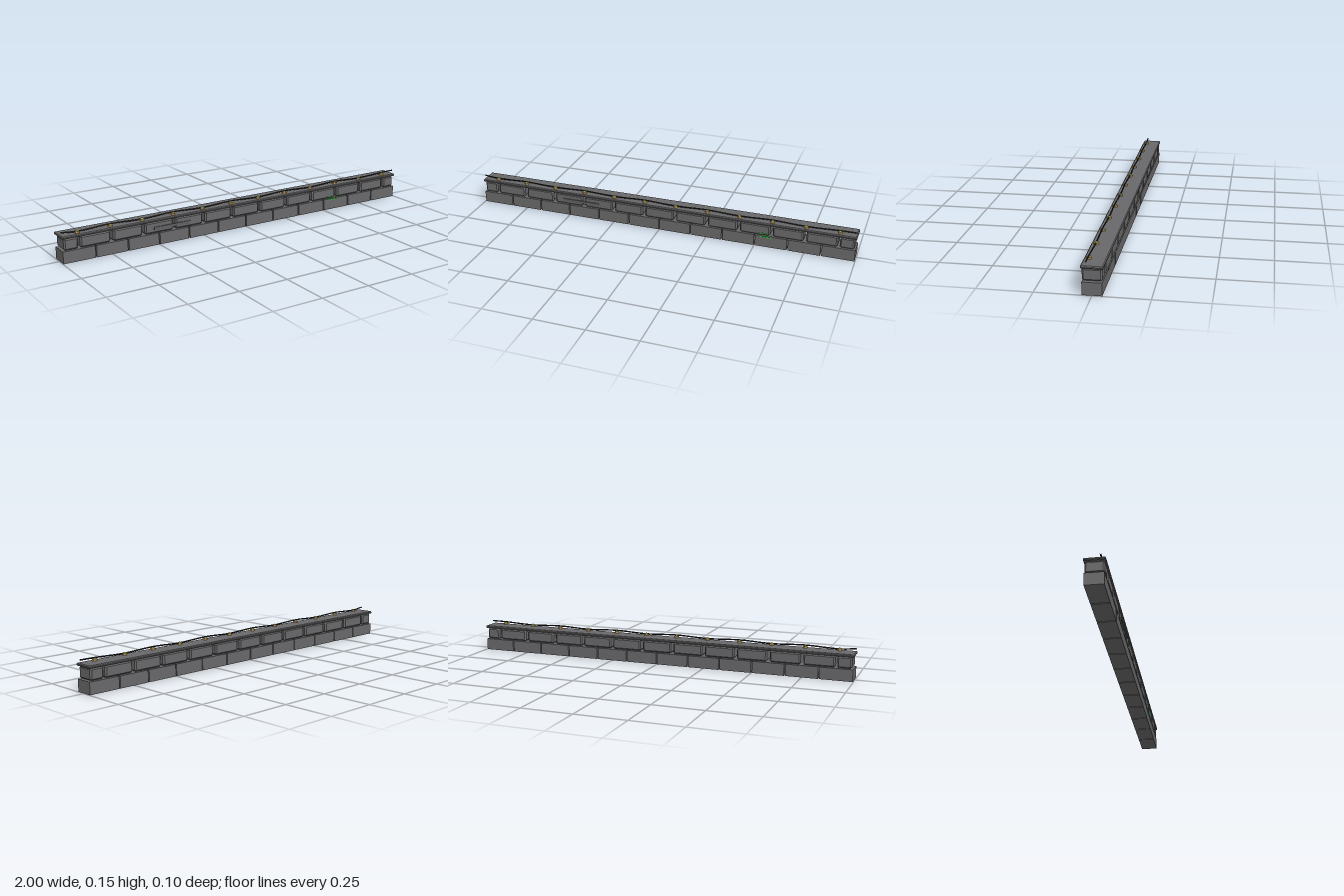
import * as THREE from 'three';
import { ConvexGeometry } from 'three/addons/geometries/ConvexGeometry.js';

// Box with every edge and corner chamfered by c
function chamferedBox(w, h, d, c) {
  const points = [];
  for (const sx of [-1, 1]) for (const sy of [-1, 1]) for (const sz of [-1, 1]) {
    const x = w / 2, y = h / 2, z = d / 2;
    points.push(
      new THREE.Vector3(sx * x, sy * (y - c), sz * (z - c)),
      new THREE.Vector3(sx * (x - c), sy * y, sz * (z - c)),
      new THREE.Vector3(sx * (x - c), sy * (y - c), sz * z));
  }
  return new ConvexGeometry(points);
}

export function createModel() {
  const wall = new THREE.Group();
  wall.name = 'lowWall';
  const material = (name, color, flatShading = true) => {
    const m = new THREE.MeshStandardMaterial({ color, flatShading });
    m.name = name;
    return m;
  };
  const stone = material('stone', 0x68686a);
  const darkStone = material('dark stone', 0x5f5f61);
  const cableBlack = material('cable black', 0x171a16);
  const tan = material('lamp tan', 0xcfa560);
  const olive = material('lamp olive', 0x8d9650);
  const green = material('paint green', 0x35c83c);

  const add = (name, geometry, mat, x, y, z) => {
    const mesh = new THREE.Mesh(geometry, mat);
    mesh.name = name;
    mesh.position.set(x, y, z);
    wall.add(mesh);
    return mesh;
  };

  // Lower course of twelve plain blocks
  const step = 1 / 6;
  const lower = new THREE.BoxGeometry(step - 0.006, 0.059, 0.088);
  for (let i = 0; i < 12; i++) {
    add('lowerBlock', lower, stone, -1 + step * (i + 0.5), 0.0295, 0);
  }

  // Upper course of chamfered blocks, offset by half a block, with half blocks at the ends
  const upper = chamferedBox(step - 0.014, 0.057, 0.088, 0.007);
  for (let i = 1; i < 12; i++) {
    add('upperBlock', upper, stone, -1 + step * i, 0.0905, 0);
  }
  const half = chamferedBox(step / 2 - 0.013, 0.057, 0.088, 0.007);
  for (const side of [-1, 1]) add('upperHalfBlock', half, stone, side * 0.955, 0.0905, 0);

  // Coping slab along the top
  add('coping', chamferedBox(2, 0.013, 0.098, 0.004), stone, 0, 0.1255, 0);

  // Plate bridging two upper blocks at the front
  add('frontPlate', new THREE.BoxGeometry(0.2, 0.015, 0.005), darkStone, -0.43, 0.086, 0.0465);

  // Small lamps with a sloped top, one over each joint
  const lampZ = 0.026;
  const lampBody = new THREE.CylinderGeometry(0.012, 0.012, 0.009, 6);
  const lampTop = new THREE.ConeGeometry(0.012, 0.006, 6);
  const cablePoints = [new THREE.Vector3(-0.998, 0.147, lampZ)];
  for (let i = 0; i < 12; i++) {
    const x = -1 + step * (i + 0.5);
    add('lampBody', lampBody, tan, x, 0.1365, lampZ);
    add('lampTop', lampTop, olive, x, 0.144, lampZ);
    cablePoints.push(new THREE.Vector3(x, i % 2 ? 0.146 : 0.14, lampZ));
  }
  cablePoints.push(new THREE.Vector3(0.998, 0.147, lampZ));

  // Cable sagging gently between the lamps
  const path = new THREE.CatmullRomCurve3(cablePoints);
  add('cable', new THREE.TubeGeometry(path, 72, 0.0035, 4, false), cableBlack, 0, 0, 0);

  // Green paint dashes across the joint between the courses
  for (const [x, y, w, h] of [
    [0.54, 0.072, 0.034, 0.004], [0.555, 0.053, 0.05, 0.004],
    [0.529, 0.063, 0.004, 0.014], [0.562, 0.063, 0.004, 0.014], [0.584, 0.06, 0.004, 0.016],
  ]) {
    add('paintDash', new THREE.BoxGeometry(w, h, 0.002), green, x, y, 0.045);
  }
  return wall;
}
